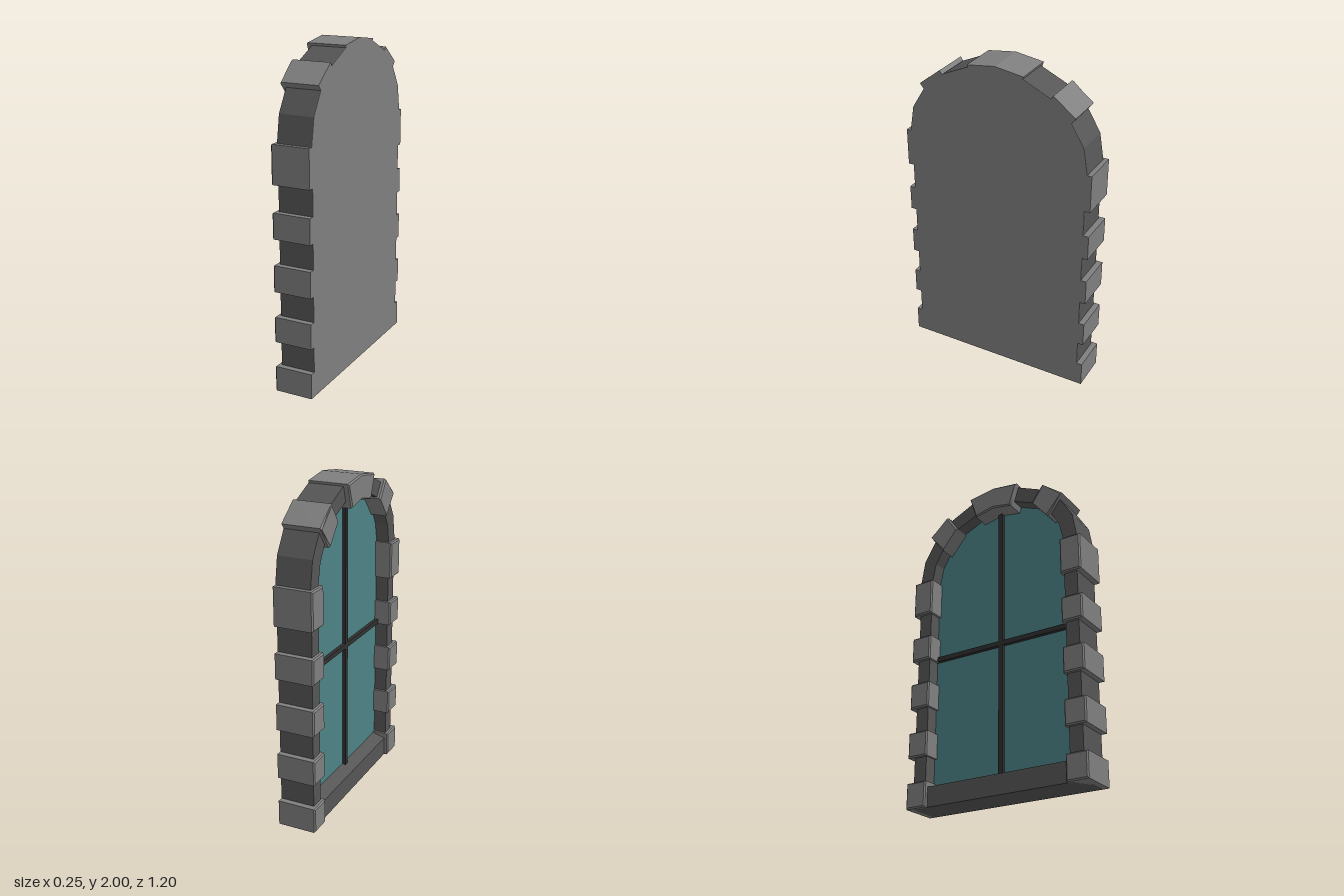
import * as THREE from 'three';

const material = (name, color) => {
  const m = new THREE.MeshStandardMaterial({ color });
  m.name = name;
  return m;
};

// Complete a right-hand outline (bottom to apex) with its left half
const mirrorOutline = (half) => [
  ...half,
  ...half.slice().reverse().filter(([x]) => x > 0).map(([x, y]) => [-x, y]),
];
const toShape = (pts) => new THREE.Shape(pts.map(([x, y]) => new THREE.Vector2(x, y)));

// Counter-clockwise prism from z = 0 to depth, with a chamfered front edge
function chamferedPrism(pts, depth, chamfer) {
  const n = pts.length;
  const cx = pts.reduce((s, p) => s + p[0], 0) / n;
  const cy = pts.reduce((s, p) => s + p[1], 0) / n;
  const inset = pts.map(([x, y]) => [x - Math.sign(x - cx) * chamfer, y - Math.sign(y - cy) * chamfer]);
  const rings = [
    pts.map(([x, y]) => [x, y, 0]),
    pts.map(([x, y]) => [x, y, depth - chamfer]),
    inset.map(([x, y]) => [x, y, depth]),
  ];
  const verts = [];
  const tri = (a, b, c) => verts.push(...a, ...b, ...c);
  for (let i = 0; i < n; i++) {
    const j = (i + 1) % n;
    for (let r = 0; r < 2; r++) {
      tri(rings[r][i], rings[r][j], rings[r + 1][j]);
      tri(rings[r][i], rings[r + 1][j], rings[r + 1][i]);
    }
    tri([cx, cy, 0], rings[0][j], rings[0][i]);
    tri([cx, cy, depth], rings[2][i], rings[2][j]);
  }
  const geo = new THREE.BufferGeometry();
  geo.setAttribute('position', new THREE.Float32BufferAttribute(verts, 3));
  geo.computeVertexNormals();
  return geo;
}

export function createModel() {
  const stone = material('light stone', 0x7f7f7f);
  const darkStone = material('dark stone', 0x565656);
  const glassBlue = material('teal glass', 0x4d8285);
  const iron = material('dark iron', 0x303030);

  // Built facing local +z with its flat back at z = 0, then turned to face -x
  const body = new THREE.Group();
  body.name = 'archedWindow';
  body.position.x = 0.125;
  body.rotation.y = -Math.PI / 2;
  const add = (name, geo, mat, x = 0, y = 0, z = 0) => {
    const mesh = new THREE.Mesh(geo, mat);
    mesh.name = name;
    mesh.position.set(x, y, z);
    body.add(mesh);
  };

  // Arched frame with its opening
  const outer = mirrorOutline([
    [0.565, 0], [0.565, 1.25], [0.572, 1.48], [0.545, 1.64], [0.46, 1.78],
    [0.33, 1.89], [0.175, 1.96], [0, 1.985],
  ]);
  const inner = mirrorOutline([
    [0.48, 0.12], [0.48, 1.48], [0.455, 1.6], [0.385, 1.72],
    [0.28, 1.81], [0.15, 1.865], [0, 1.885],
  ]);
  const frameShape = toShape(outer);
  frameShape.holes.push(toShape(inner));
  add('frame', new THREE.ExtrudeGeometry(frameShape, { depth: 0.212, bevelEnabled: false }), darkStone, 0, 0, 0.003);

  // Flat back panel
  add('backPanel', new THREE.ExtrudeGeometry(toShape(outer), { depth: 0.003, bevelEnabled: false }), stone);

  // Glass pane and glazing bars
  add('glass', new THREE.ExtrudeGeometry(toShape(inner), { depth: 0.008, bevelEnabled: false }), glassBlue, 0, 0, 0.125);
  add('verticalBar', new THREE.BoxGeometry(0.03, 1.76, 0.03), iron, 0, 1.005, 0.14);
  add('horizontalBar', new THREE.BoxGeometry(0.96, 0.03, 0.03), iron, 0, 0.95, 0.14);

  // Sloping sill top: profile swept across the opening
  const sill = new THREE.ExtrudeGeometry(
    toShape([[-0.215, 0.115], [-0.125, 0.115], [-0.125, 0.148], [-0.215, 0.122]]),
    { depth: 0.96, bevelEnabled: false });
  sill.rotateY(Math.PI / 2);
  add('sill', sill, darkStone, -0.48);

  // Corner stones, stacked up both jambs
  const courses = [[0, 0.155], [0.31, 0.465], [0.62, 0.78], [0.935, 1.09], [1.25, 1.48]];
  for (const side of [-1, 1]) {
    for (const [low, high] of courses) {
      const [a, b] = side > 0 ? [0.465, 0.6] : [-0.6, -0.465];
      add('jambStone', chamferedPrism([[a, low], [b, low], [b, high], [a, high]], 0.24, 0.008), stone);
    }
    // Slanted arch stone
    const arch = [[0.39, 1.67], [0.49, 1.8], [0.355, 1.905], [0.28, 1.8]];
    const pts = side > 0 ? arch : arch.map(([x, y]) => [-x, y]).reverse();
    add('archStone', chamferedPrism(pts, 0.24, 0.008), stone);
  }

  // Keystone at the apex
  const key = mirrorOutline([[0.13, 1.83], [0.175, 1.975], [0, 2]]);
  add('keystone', chamferedPrism([[0, 1.855], ...key], 0.25, 0.008), stone);

  const model = new THREE.Group();
  model.name = 'window';
  model.add(body);
  return model;
}
